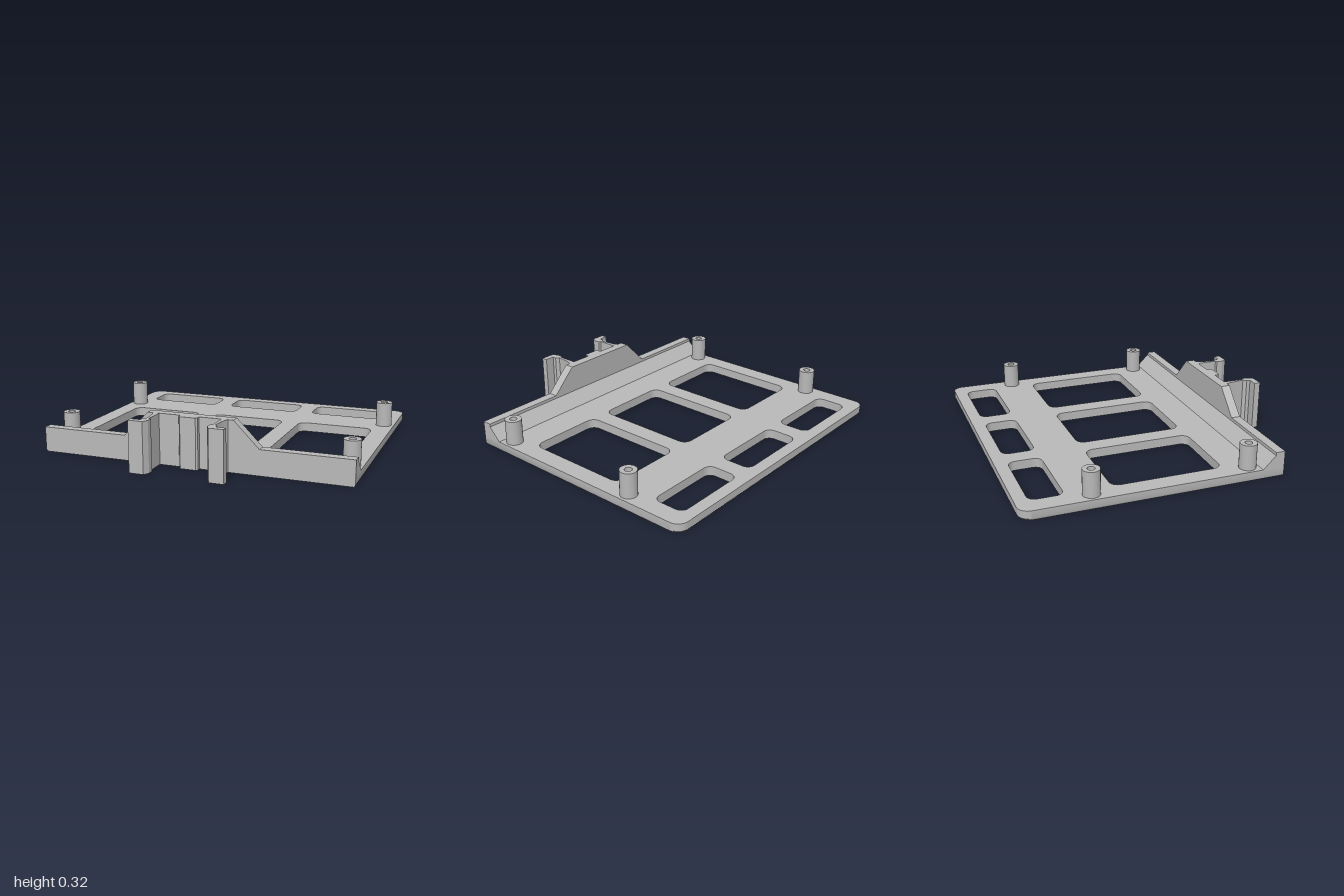
import * as THREE from 'three';
import { toCreasedNormals } from 'three/addons/utils/BufferGeometryUtils.js';

const T = 0.06; // plate thickness

// Rounded rectangle; rear corners use r, front corners rf (shape y = -z)
function roundedRect(Path, x0, x1, z0, z1, r, rf = r) {
  const p = new Path();
  const a = -z1, b = -z0;
  p.moveTo(x0 + rf, a);
  p.lineTo(x1 - rf, a);
  if (rf) p.absarc(x1 - rf, a + rf, rf, -Math.PI / 2, 0);
  p.lineTo(x1, b - r);
  p.absarc(x1 - r, b - r, r, 0, Math.PI / 2);
  p.lineTo(x0 + r, b);
  p.absarc(x0 + r, b - r, r, Math.PI / 2, Math.PI);
  p.lineTo(x0, a + rf);
  if (rf) p.absarc(x0 + rf, a + rf, rf, Math.PI, Math.PI * 1.5);
  return p;
}

function circle(Path, x, z, r) {
  const p = new Path();
  p.absarc(x, -z, r, 0, Math.PI * 2);
  return p;
}

const polygon = (pts) => new THREE.Shape(pts.map(([x, y]) => new THREE.Vector2(x, y)));
const planPolygon = (pts) => polygon(pts.map(([x, z]) => [x, -z]));

// Extrude a plan shape upward from y0
function rise(shape, y0, height, steps = 1) {
  const g = new THREE.ExtrudeGeometry(shape, { depth: height, steps, bevelEnabled: false, curveSegments: 12 });
  return g.rotateX(-Math.PI / 2).translate(0, y0, 0);
}

export function createModel() {
  const group = new THREE.Group();
  const grey = new THREE.MeshStandardMaterial({ color: 0xb8b8b8 });
  grey.name = 'plasticGrey';
  const add = (name, geometry) => {
    const mesh = new THREE.Mesh(toCreasedNormals(geometry, 0.5), grey);
    mesh.name = name;
    group.add(mesh);
  };

  const posts = [[-0.93, -0.49], [0.93, -0.49], [-0.93, 0.49], [0.93, 0.49]];

  // Base plate with two rows of windows and screw holes
  const plate = roundedRect(THREE.Shape, -1, 1, -0.92, 0.7, 0.07, 0);
  for (const [x0, x1] of [[-0.88, -0.375], [-0.255, 0.255], [0.375, 0.88]]) {
    plate.holes.push(roundedRect(THREE.Path, x0, x1, -0.84, -0.63, 0.05));
    plate.holes.push(roundedRect(THREE.Path, x0, x1, -0.35, 0.35, 0.055));
  }
  for (const [x, z] of posts) plate.holes.push(circle(THREE.Path, x, z, 0.023));
  const plateGeo = rise(plate, 0, T, 2);

  // Small chamfer under the side and rear edges
  const pos = plateGeo.attributes.position;
  for (let i = 0; i < pos.count; i++) {
    const x = pos.getX(i), y = pos.getY(i), z = pos.getZ(i);
    if (Math.abs(y - T / 2) < 0.001) pos.setY(i, 0.013);
    if (y < 0.001) {
      if (Math.abs(x) > 0.96 || z < -0.86) {
        pos.setX(i, x * 0.993);
        if (z < 0) pos.setZ(i, z * 0.991);
      }
    }
  }
  add('basePlate', plateGeo);

  // Hollow standoffs
  for (const [x, z] of posts) {
    const ring = circle(THREE.Shape, x, z, 0.053);
    ring.holes.push(circle(THREE.Path, x, z, 0.023));
    add('standoff', rise(ring, T, 0.16));
  }

  // Front wall with sloped inner foot, swept along x
  const wall = polygon([[-0.7, T], [-0.56, T], [-0.64, 0.14], [-0.64, 0.16], [-0.7, 0.16]].reverse());
  add('frontWall', new THREE.ExtrudeGeometry(wall, { depth: 2, bevelEnabled: false })
    .rotateY(Math.PI / 2).translate(-1, 0, 0));

  // Raised centre of the wall
  const crest = polygon([[-0.435, 0.16], [0.435, 0.16], [0.275, 0.32], [-0.275, 0.32]]);
  add('wallCrest', new THREE.ExtrudeGeometry(crest, { depth: 0.06, bevelEnabled: false }).translate(0, 0, 0.64));

  // Centre rib
  add('centreRib', rise(planPolygon([
    [-0.06, 0.7], [-0.06, 0.725], [-0.05, 0.735], [0.05, 0.735], [0.06, 0.725], [0.06, 0.7],
  ]), 0, 0.32));

  // Hooked clips
  const clip = [
    [0.2, 0.7], [0.2, 0.835], [0.185, 0.84], [0.185, 0.88], [0.205, 0.915], [0.298, 0.915],
    [0.298, 0.875], [0.235, 0.875], [0.235, 0.85], [0.215, 0.832], [0.228, 0.73], [0.24, 0.7],
  ];
  for (const side of [1, -1]) {
    add(side > 0 ? 'leftClip' : 'rightClip', rise(planPolygon(clip.map(([x, z]) => [x * side, z])), 0, 0.32));
  }

  return group;
}
